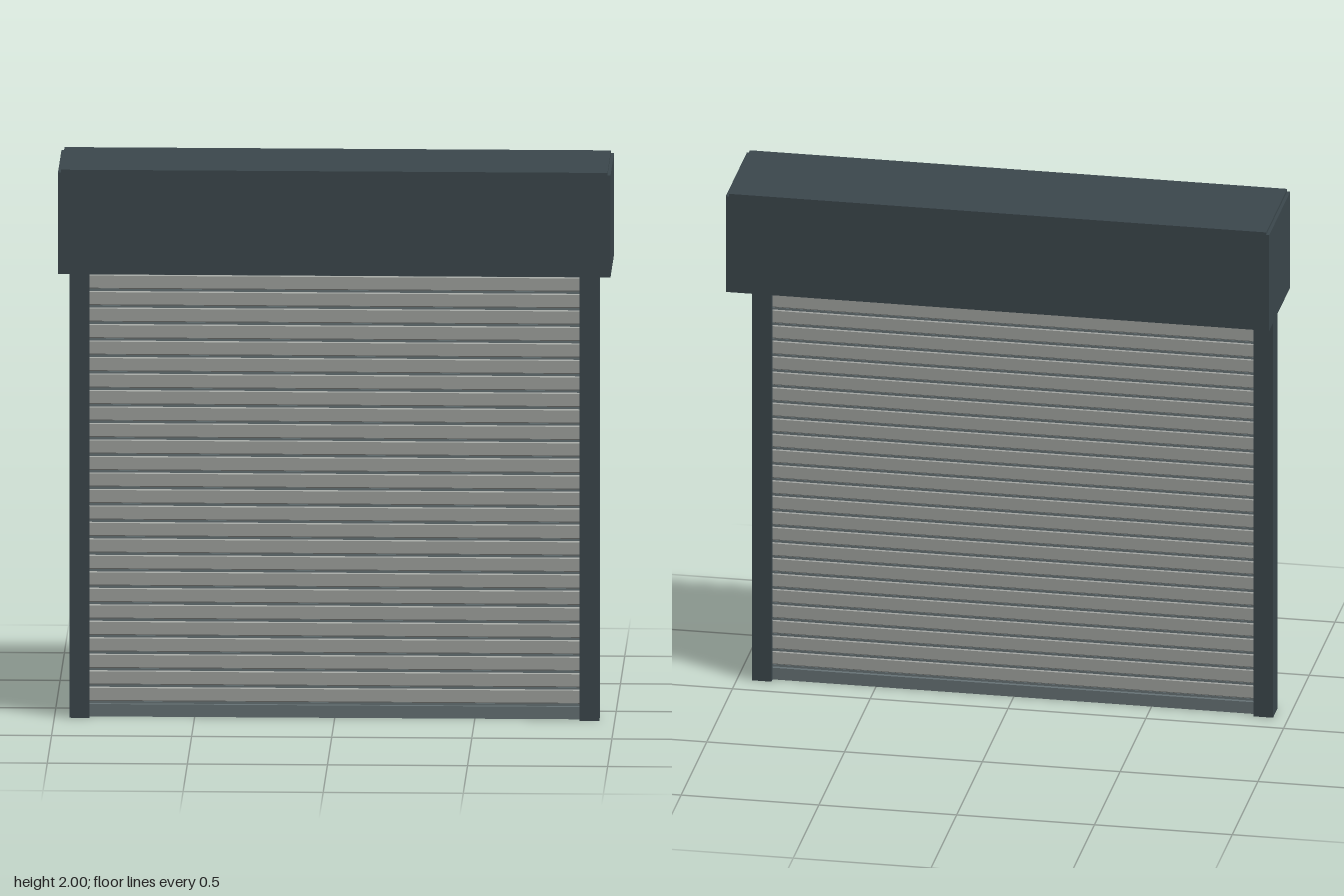
import * as THREE from 'three';

const mat = (name, color) => {
  const m = new THREE.MeshStandardMaterial({ color });
  m.name = name;
  return m;
};

export function createModel() {
  const anthracite = mat('anthracite', 0x3b474c);
  const slatGrey = mat('slat grey', 0xa0a39f);
  const slate = mat('slate', 0x667275);

  const root = new THREE.Group();
  root.name = 'rollerShutter';
  const group = (name) => {
    const g = new THREE.Group();
    g.name = name;
    root.add(g);
    return g;
  };
  const add = (parent, name, geometry, material) => {
    const m = new THREE.Mesh(geometry, material);
    m.name = name;
    parent.add(m);
    return m;
  };
  // Box given by its lower and upper limits on each axis
  const box = (parent, name, material, x0, x1, y0, y1, z0, z1) => {
    const m = add(parent, name, new THREE.BoxGeometry(x1 - x0, y1 - y0, z1 - z0), material);
    m.position.set((x0 + x1) / 2, (y0 + y1) / 2, (z0 + z1) / 2);
    return m;
  };

  // Hood: sheet box, open underneath
  const hood = group('hood');
  box(hood, 'hoodTop', anthracite, -0.975, 0.975, 1.988, 2, -0.205, 0.205);
  box(hood, 'hoodFront', anthracite, -0.975, 0.975, 1.62, 1.988, 0.193, 0.205);
  box(hood, 'hoodBack', anthracite, -0.975, 0.975, 1.62, 1.988, -0.205, -0.193);
  for (const s of [-1, 1]) {
    const end = box(hood, s > 0 ? 'leftEndPlate' : 'rightEndPlate', anthracite,
      -0.006, 0.006, 1.62, 1.99, -0.205, 0.205);
    end.position.x = s * 0.98;
  }

  // Guide rails: channels with the slot facing the curtain
  for (const s of [-1, 1]) {
    const shape = new THREE.Shape([
      [0.875, 0.09], [0.945, 0.09], [0.945, 0.175], [0.875, 0.175],
      [0.875, 0.16], [0.93, 0.16], [0.93, 0.105], [0.875, 0.105],
    ].map(([x, z]) => new THREE.Vector2(s * x, -z)));
    const geo = new THREE.ExtrudeGeometry(shape, { depth: 1.64, bevelEnabled: false });
    geo.rotateX(-Math.PI / 2);
    add(root, s > 0 ? 'leftGuideRail' : 'rightGuideRail', geo, anthracite);
  }

  // Curtain: bevelled slats with dark hinge joints between them
  const curtain = group('curtain');
  const pitch = 0.06, firstY = 0.05, count = 28, half = 0.91, z = 0.13;
  const profile = new THREE.Shape([
    [-0.004, 0.003], [0.004, 0.003], [0.009, 0.008], [0.009, 0.052],
    [0.004, 0.057], [-0.004, 0.057], [-0.009, 0.052], [-0.009, 0.008],
  ].map(([a, b]) => new THREE.Vector2(a, b)));
  const slatGeo = new THREE.ExtrudeGeometry(profile, { depth: half * 2, bevelEnabled: false });
  slatGeo.translate(0, 0, -half).rotateY(-Math.PI / 2);
  for (let i = 0; i < count; i++) {
    const y = firstY + i * pitch;
    add(curtain, 'slat', slatGeo, slatGrey).position.set(0, y, z);
    box(curtain, 'slatJoint', slate, -half, half, y - 0.004, y + 0.004, z - 0.007, z + 0.007);
  }

  // Bottom bar
  box(root, 'bottomBar', slate, -half, half, 0, 0.045, z - 0.018, z + 0.018);

  // Roller drum and its axle inside the hood
  const roller = group('roller');
  roller.position.set(0, 1.81, 0);
  for (const [name, r, len, m] of [['drum', 0.125, 1.8, slate], ['axle', 0.03, 1.95, anthracite]]) {
    const geo = new THREE.CylinderGeometry(r, r, len, 32).rotateZ(Math.PI / 2);
    add(roller, name, geo, m);
  }

  return root;
}
